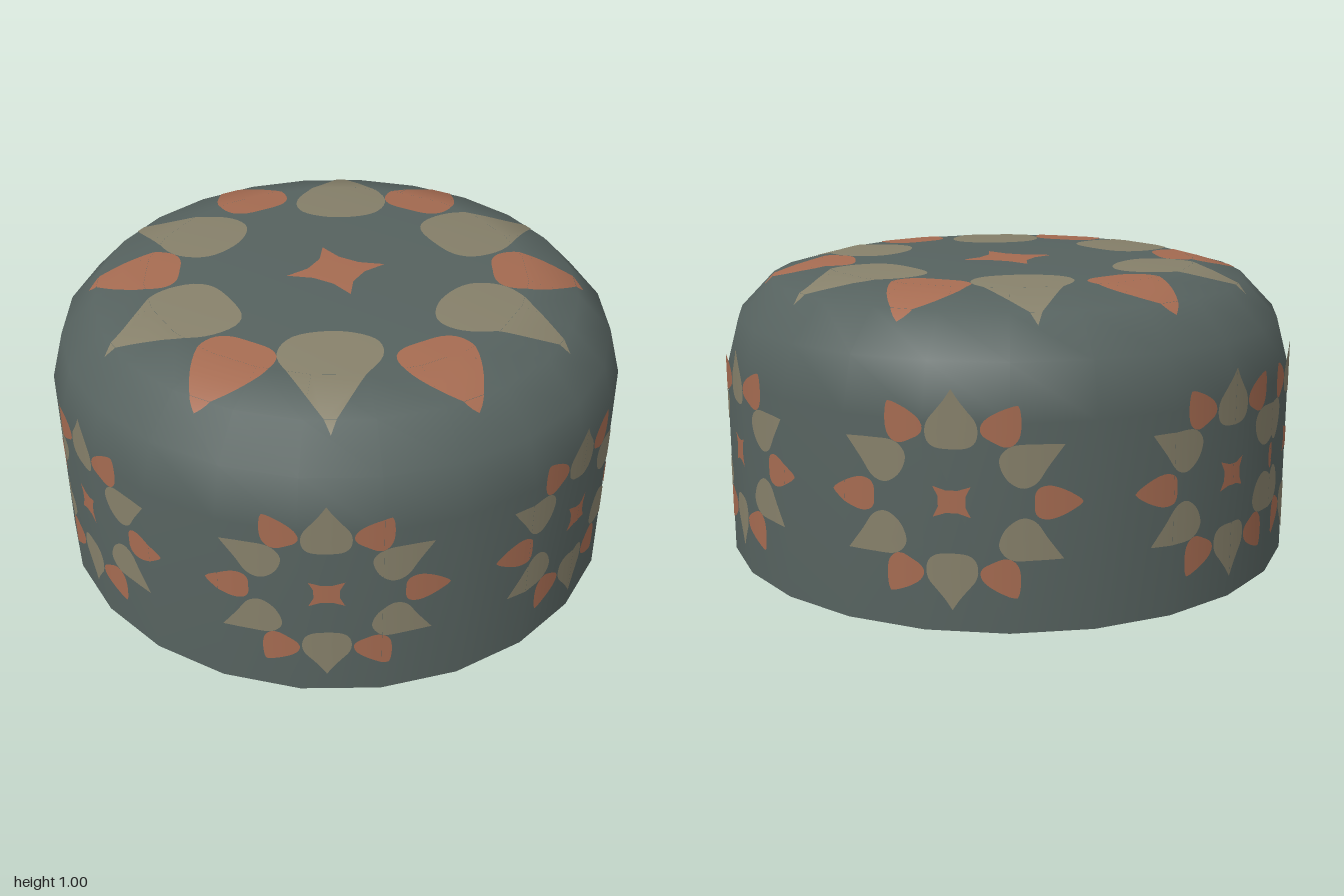
import * as THREE from 'three';

const SIDES = 24, STEP = (Math.PI * 2) / SIDES, LIFT = 0.002, BASE = 0.003;
const rad = THREE.MathUtils.degToRad;

const material = (name, color) => {
  const m = new THREE.MeshStandardMaterial({ color });
  m.name = name;
  return m;
};

// Rounded shoulder rings: radius, height, elevation of the normal
const RINGS = [[0, 1, 90], [0.66, 1, 82.5], [0.834, 0.954, 60], [0.954, 0.83, 30], [1, 0.66, 7.5]];

// Petal outlines, tip at both ends of each smooth curve
const smooth = (pts) => new THREE.SplineCurve(pts.map((p) => new THREE.Vector2(...p))).getPoints(40).slice(0, -1).map((p) => [p.x, p.y]);
const symmetric = (half) => smooth([...half, ...half.slice(0, -1).reverse().map(([r, t]) => [r, -t])]);
const turn = (pts, deg) => {
  const c = Math.cos(rad(deg)), s = Math.sin(rad(deg));
  return pts.map(([x, y]) => [x * c - y * s, x * s + y * c]);
};
const spade = symmetric([[0.86, 0], [0.78, 0.045], [0.7, 0.1], [0.62, 0.155], [0.54, 0.172], [0.46, 0.155], [0.415, 0.1], [0.405, 0]]);
const bud = symmetric([[0.86, 0], [0.83, 0.035], [0.74, 0.095], [0.65, 0.13], [0.58, 0.12], [0.545, 0.075], [0.54, 0]]);
const leaf = smooth([[0.736, 0.445], [0.56, 0.45], [0.39, 0.44], [0.31, 0.34], [0.35, 0.2], [0.45, 0.118], [0.55, 0.15], [0.63, 0.28], [0.736, 0.445]]);
const star = [[0.125, 0.12], [0.04, 0.088], [-0.04, 0.088], [-0.125, 0.12], [-0.09, 0.04], [-0.09, -0.04],
  [-0.125, -0.12], [-0.04, -0.088], [0.04, -0.088], [0.125, -0.12], [0.09, -0.04], [0.09, 0.04]];

// One flower: six cream petals, six orange buds and a small centre
function flower(starTurn = 0) {
  const cream = [turn(spade, 90), turn(spade, -90)];
  for (const sx of [1, -1]) for (const sy of [1, -1]) cream.push(leaf.map(([x, y]) => [x * sx, y * sy]));
  const orange = [turn(star, starTurn)];
  for (let i = 0; i < 6; i++) orange.push(turn(bud, i * 60));
  return { cream, orange };
}

// Keeps the part of a polygon where a*x + b*y + c >= 0
function clip(poly, [a, b, c]) {
  const out = [], f = (p) => a * p[0] + b * p[1] + c;
  poly.forEach((p, i) => {
    const q = poly[(i + 1) % poly.length], fp = f(p), fq = f(q);
    if (fp >= 0) out.push(p);
    if ((fp > 0 && fq < 0) || (fp < 0 && fq > 0)) {
      const t = fp / (fp - fq);
      out.push([p[0] + (q[0] - p[0]) * t, p[1] + (q[1] - p[1]) * t]);
    }
  });
  return out;
}

// Flat facets of the wall, in (angle, height), unrolled from a seam at -x
const wallCells = [];
for (let k = 0; k < SIDES; k++) {
  const a = -Math.PI / 2 + k * STEP, b = a + STEP, m = a + STEP / 2;
  wallCells.push({
    planes: [[1, 0, -a], [-1, 0, b]],
    facing: new THREE.Vector3(Math.sin(m), 0, Math.cos(m)),
    lift: ([t, y]) => {
      const f = (t - a) / STEP;
      return new THREE.Vector3(
        THREE.MathUtils.lerp(Math.sin(a), Math.sin(b), f), y, THREE.MathUtils.lerp(Math.cos(a), Math.cos(b), f));
    },
    normal: ([t]) => new THREE.Vector3(Math.sin(t), 0, Math.cos(t)),
  });
}

// Flat facets of a cap, in (x, z), between successive rings
function capCells(rings, up) {
  const cells = [], apothem = Math.cos(STEP / 2);
  for (let k = 0; k < SIDES; k++) {
    const a = k * STEP, b = a + STEP, m = a + STEP / 2, mx = Math.sin(m), mz = Math.cos(m);
    for (let i = 0; i < rings.length - 1; i++) {
      const [r0, y0, e0] = rings[i], [r1, y1, e1] = rings[i + 1];
      const d0 = r0 * apothem, d1 = r1 * apothem;
      const part = ([x, z]) => (x * mx + z * mz - d0) / (d1 - d0);
      const slope = Math.atan2(d1 - d0, y0 - y1);
      cells.push({
        planes: [[Math.cos(a), -Math.sin(a), 0], [-Math.cos(b), Math.sin(b), 0], [mx, mz, -d0], [-mx, -mz, d1]],
        facing: new THREE.Vector3(mx * Math.cos(slope), Math.sin(slope) * up, mz * Math.cos(slope)),
        lift: (p) => new THREE.Vector3(p[0], y0 + (y1 - y0) * part(p), p[1]),
        normal: (p) => {
          const e = rad(e0 + (e1 - e0) * part(p)), t = Math.atan2(p[0], p[1]);
          return new THREE.Vector3(Math.sin(t) * Math.cos(e), Math.sin(e), Math.cos(t) * Math.cos(e));
        },
      });
    }
  }
  return cells;
}

// Lays flat outlines onto the facets as a thin skin
function inlay(outlines, cells) {
  const pos = [], nor = [];
  for (const outline of outlines) for (const cell of cells) {
    const poly = cell.planes.reduce((p, plane) => (p.length ? clip(p, plane) : p), outline);
    if (poly.length < 3) continue;
    const pts = poly.map((p) => cell.lift(p).addScaledVector(cell.facing, LIFT));
    const contour = poly.map((p) => new THREE.Vector2(p[0], p[1]));
    for (let tri of THREE.ShapeUtils.triangulateShape(contour, [])) {
      const [A, B, C] = tri.map((i) => pts[i]);
      const n = B.clone().sub(A).cross(C.clone().sub(A));
      if (n.length() < 1e-9) continue;
      if (n.dot(cell.facing) < 0) tri = [tri[0], tri[2], tri[1]];
      for (const i of tri) {
        pos.push(...pts[i].toArray());
        nor.push(...cell.normal(poly[i]).toArray());
      }
    }
  }
  const g = new THREE.BufferGeometry();
  g.setAttribute('position', new THREE.Float32BufferAttribute(pos, 3));
  g.setAttribute('normal', new THREE.Float32BufferAttribute(nor, 3));
  return g;
}

export function createModel() {
  const group = new THREE.Group();
  const fabric = material('slate fabric', 0x56625f);
  const paints = { cream: material('cream print', 0x86806a), orange: material('orange print', 0xa56b51) };
  const add = (name, geometry, mat) => {
    const mesh = new THREE.Mesh(geometry, mat);
    mesh.name = name;
    group.add(mesh);
  };

  // Round cushion body and its flat base
  const profile = [[1, BASE], ...RINGS.slice().reverse()].map(([r, y]) => new THREE.Vector2(r, y));
  add('cushionBody', new THREE.LatheGeometry(profile, SIDES), fabric);
  add('cushionBase', new THREE.CircleGeometry(1, SIDES).rotateX(Math.PI / 2).translate(0, BASE, 0), fabric);

  const print = (name, pattern, maps, cells) => {
    for (const key of ['cream', 'orange']) {
      const outlines = maps.flatMap((map) => pattern[key].map((o) => o.map(map)));
      add(`${name}${key === 'cream' ? 'Petals' : 'Buds'}`, inlay(outlines, cells), paints[key]);
    }
  };

  // Ring of small flowers round the wall
  const wallMaps = [];
  for (let j = 0; j < 7; j++) wallMaps.push(([x, y]) => [rad(-75 + 55 * j) + x * 0.46, 0.415 + y * 0.4]);
  print('wallFlower', flower(), wallMaps, wallCells);

  // Large flower on top
  print('topFlower', flower(30), [([x, y]) => [x * 0.919 + y * 0.394, x * 0.394 - y * 0.919]], capCells(RINGS, 1));

  // Part of a larger flower crossing the base
  const baseMap = ([x, y]) => [-1.07 + 2.2 * (y * 0.851 - x * 0.525), -1.09 + 2.2 * (y * 0.525 + x * 0.851)];
  print('baseFlower', flower(), [baseMap], capCells([[0, BASE, -90], [1, BASE, -90]], -1));

  return group;
}
